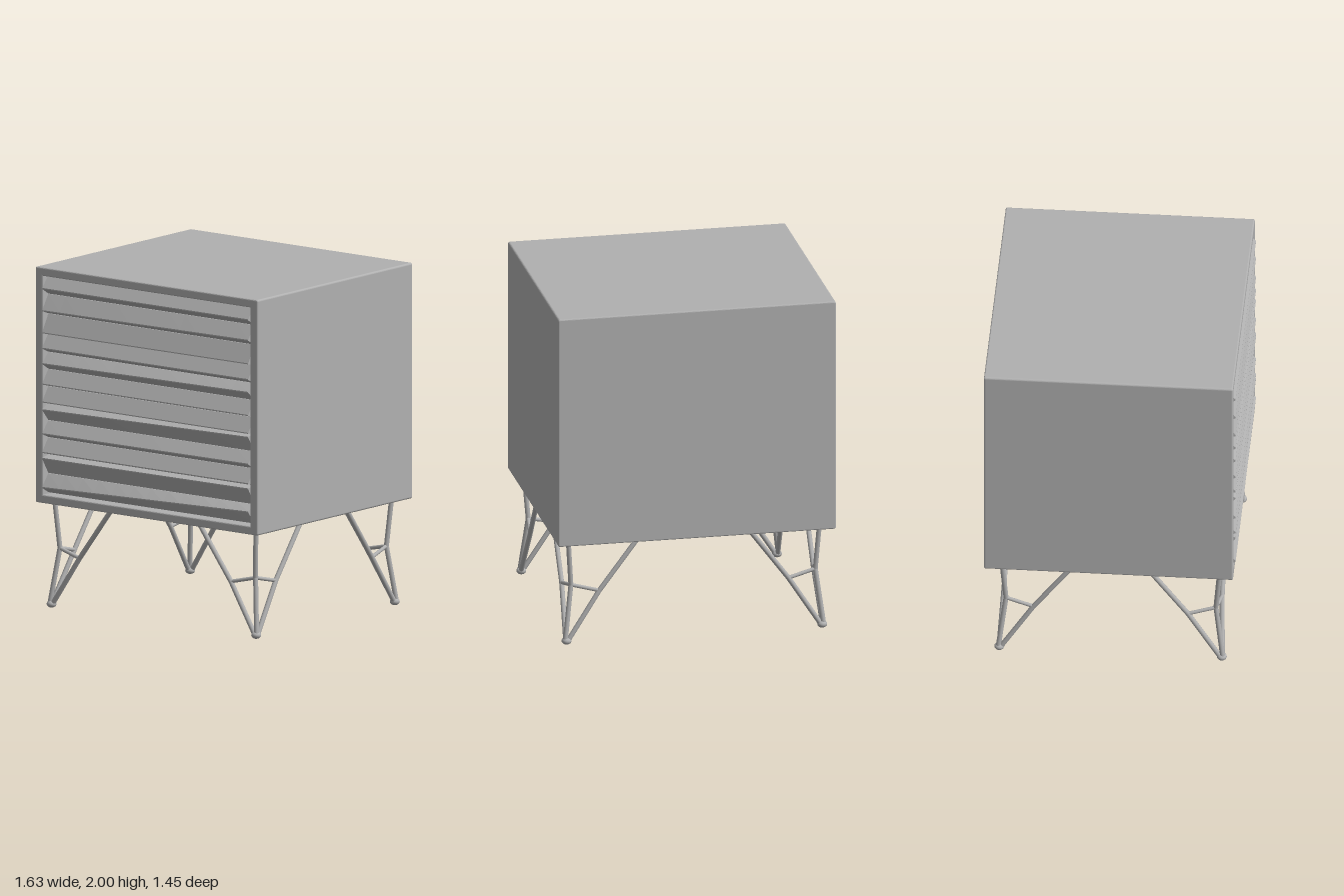
import * as THREE from 'three';

const grey = new THREE.MeshStandardMaterial({ color: 0xb0b0b0 });
grey.name = 'satin grey';

const V = (x, y, z) => new THREE.Vector3(x, y, z);

function add(parent, name, geometry, x = 0, y = 0, z = 0) {
  const mesh = new THREE.Mesh(geometry, grey);
  mesh.name = name;
  mesh.position.set(x, y, z);
  parent.add(mesh);
  return mesh;
}

// Rectangle with small rounded corners
function roundedRect(PathType, x0, y0, x1, y1, r) {
  const p = new PathType();
  p.absarc(x1 - r, y1 - r, r, 0, Math.PI / 2);
  p.absarc(x0 + r, y1 - r, r, Math.PI / 2, Math.PI);
  p.absarc(x0 + r, y0 + r, r, Math.PI, Math.PI * 1.5);
  p.absarc(x1 - r, y0 + r, r, Math.PI * 1.5, Math.PI * 2);
  p.closePath();
  return p;
}

// Open carcass, closed by a back panel and a panel behind the slats
function buildCabinet() {
  const cabinet = new THREE.Group();
  cabinet.name = 'cabinet';
  const b = 0.008;
  const shape = roundedRect(THREE.Shape, -0.815 + b, 0.62 + b, 0.815 - b, 2 - b, 0.004);
  const hole = new THREE.Path();
  hole.moveTo(-0.768, 0.662);
  hole.lineTo(-0.768, 1.958);
  hole.lineTo(0.768, 1.958);
  hole.lineTo(0.768, 0.662);
  hole.closePath();
  shape.holes.push(hole);
  const carcass = new THREE.ExtrudeGeometry(shape, {
    depth: 1.435 - 2 * b, bevelThickness: b, bevelSize: b, bevelSegments: 3, curveSegments: 4,
  });
  add(cabinet, 'carcass', carcass, 0, 0, -0.725 + b);
  add(cabinet, 'backPanel', new THREE.BoxGeometry(1.536, 1.296, 0.03), 0, 1.31, -0.71);
  add(cabinet, 'innerPanel', new THREE.BoxGeometry(1.53, 1.29, 0.02), 0, 1.31, 0.615);
  return cabinet;
}

// Twisted slat: a wedge whose ridge height differs at its two ends
function slatGeometry(top, bottom, ridgeLeft, ridgeRight) {
  const half = 0.755, valley = 0.665, ridge = 0.721, back = 0.62;
  const section = (x, y) => [
    V(x, top, valley), V(x, y + 0.003, ridge), V(x, y - 0.003, ridge),
    V(x, bottom, valley), V(x, bottom, back), V(x, top, back),
  ];
  const steps = 12, rings = [], pts = [];
  for (let i = 0; i <= steps; i++) {
    const t = i / steps;
    rings.push(section(-half + 2 * half * t, THREE.MathUtils.lerp(ridgeLeft, ridgeRight, t)));
  }
  const n = rings[0].length;
  for (let i = 0; i < steps; i++) {
    for (let j = 0; j < n; j++) {
      const k = (j + 1) % n, L = rings[i], R = rings[i + 1];
      pts.push(L[j], L[k], R[k], L[j], R[k], R[j]);
    }
  }
  // end caps, fanned from the back corner
  const L = rings[0], R = rings[steps];
  for (let j = 0; j < n - 2; j++) {
    pts.push(R[n - 1], R[j], R[j + 1], L[n - 1], L[j + 1], L[j]);
  }
  const g = new THREE.BufferGeometry().setFromPoints(pts);
  g.computeVertexNormals();
  return g;
}

function buildSlats() {
  const slats = new THREE.Group();
  slats.name = 'slattedFront';
  const edges = [1.948, 1.84, 1.725, 1.61, 1.5, 1.4, 1.3, 1.205, 1.1, 1.0, 0.9, 0.79, 0.677];
  const ridges = [
    [1.88, 1.88], [1.75, 1.76], [1.62, 1.622], [1.53, 1.53], [1.44, 1.455], [1.32, 1.32],
    [1.215, 1.215], [1.17, 1.192], [1.03, 1.035], [0.92, 0.92], [0.885, 0.89], [0.715, 0.755],
  ];
  ridges.forEach(([l, r], i) =>
    add(slats, 'slat', slatGeometry(edges[i], edges[i + 1] + 0.002, l, r)));
  return slats;
}

// Round bar between two points
function rod(parent, name, a, b, radius) {
  const mesh = add(parent, name, new THREE.CylinderGeometry(radius, radius, a.distanceTo(b), 12));
  mesh.position.copy(a).add(b).multiplyScalar(0.5);
  mesh.quaternion.setFromUnitVectors(V(0, 1, 0), b.clone().sub(a).normalize());
}

function chain(parent, name, points, radius) {
  for (let i = 0; i < points.length - 1; i++) {
    rod(parent, name, points[i], points[i + 1], radius);
    add(parent, name + 'Joint', new THREE.SphereGeometry(radius, 12, 8), ...points[i].toArray());
  }
  add(parent, name + 'Joint', new THREE.SphereGeometry(radius, 12, 8), ...points.at(-1).toArray());
}

// Wire leg: kinked corner strut, two splayed struts, braces and mounting bars
function buildLeg(sx, sz) {
  const leg = new THREE.Group();
  leg.name = 'leg';
  const P = (x, y, z) => V(x * sx, y, z * sz);
  const r = 0.0145;
  const foot = P(0.758, 0.023, 0.647);
  const node = P(0.717, 0.348, 0.605);
  const corner = P(0.736, 0.612, 0.627);
  chain(leg, 'cornerStrut', [foot, node, corner], r);

  const nodeX = P(0.555, 0.31, 0.628), topX = P(0.33, 0.61, 0.628);
  const nodeZ = P(0.738, 0.31, 0.445), topZ = P(0.738, 0.61, 0.22);
  const footX = P(0.74, 0.025, 0.643), footZ = P(0.753, 0.025, 0.63);
  chain(leg, 'sideStrut', [footX, nodeX, topX], r);
  chain(leg, 'sideStrut', [footZ, nodeZ, topZ], r);
  chain(leg, 'brace', [node, nodeX], 0.011);
  chain(leg, 'brace', [node, nodeZ], 0.011);

  // rounded foot
  const tip = add(leg, 'foot', new THREE.SphereGeometry(0.029, 16, 10), sx * 0.75, 0.022, sz * 0.641);
  tip.scale.y = 0.75;

  // thin mounting bars under the cabinet
  add(leg, 'mountBar', new THREE.BoxGeometry(0.45, 0.015, 0.028), sx * 0.525, 0.614, sz * 0.628);
  add(leg, 'mountBar', new THREE.BoxGeometry(0.028, 0.015, 0.45), sx * 0.736, 0.614, sz * 0.417);
  return leg;
}

export function createModel() {
  const model = new THREE.Group();
  model.name = 'bedsideCabinet';
  model.add(buildCabinet(), buildSlats());
  for (const sx of [-1, 1]) for (const sz of [-1, 1]) model.add(buildLeg(sx, sz));
  return model;
}
